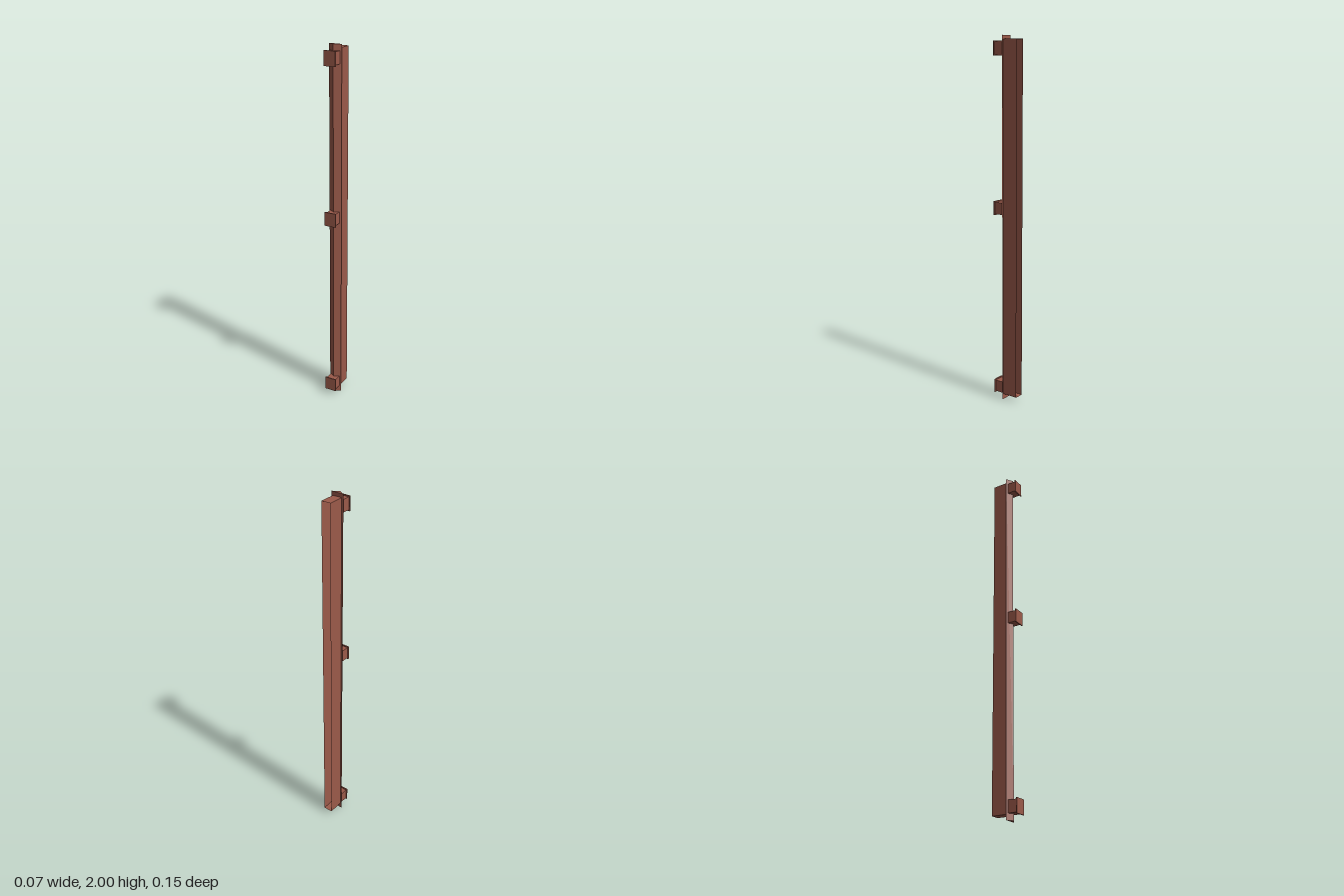
import * as THREE from 'three';

export function createModel() {
  const model = new THREE.Group();
  const paint = new THREE.MeshStandardMaterial({ color: 0x9b5a4a, side: THREE.DoubleSide });
  paint.name = 'brick red';

  const add = (name, geometry, x, y, z, parent = model) => {
    const mesh = new THREE.Mesh(geometry, paint);
    mesh.name = name;
    mesh.position.set(x, y, z);
    parent.add(mesh);
    return mesh;
  };

  // Thin-walled channel with end caps, open at the back (the last box face is dropped)
  const channel = new THREE.BoxGeometry(0.052, 1.95, 0.09);
  channel.setIndex(Array.from(channel.index.array).slice(0, 30));
  channel.clearGroups();
  add('channel', channel, 0, 1.005, -0.03);

  // Full-height V-shaped strip, its ridge pointing forward
  const section = new THREE.Shape([
    new THREE.Vector2(-0.036, -0.013),
    new THREE.Vector2(0.036, -0.013),
    new THREE.Vector2(0, -0.036),
  ]);
  const strip = new THREE.ExtrudeGeometry(section, { depth: 2, bevelEnabled: false });
  strip.rotateX(-Math.PI / 2);
  add('ridgeStrip', strip, 0, 0, 0);

  // Three stand-off brackets, each a neck with a slightly wider front plate
  for (const y of [0.067, 1.09, 1.935]) {
    const bracket = new THREE.Group();
    bracket.name = 'bracket';
    bracket.position.y = y;
    model.add(bracket);
    add('bracketNeck', new THREE.BoxGeometry(0.055, 0.065, 0.054), 0, 0, 0.041, bracket);
    add('bracketPlate', new THREE.BoxGeometry(0.066, 0.077, 0.006), 0, 0, 0.071, bracket);
  }

  return model;
}
